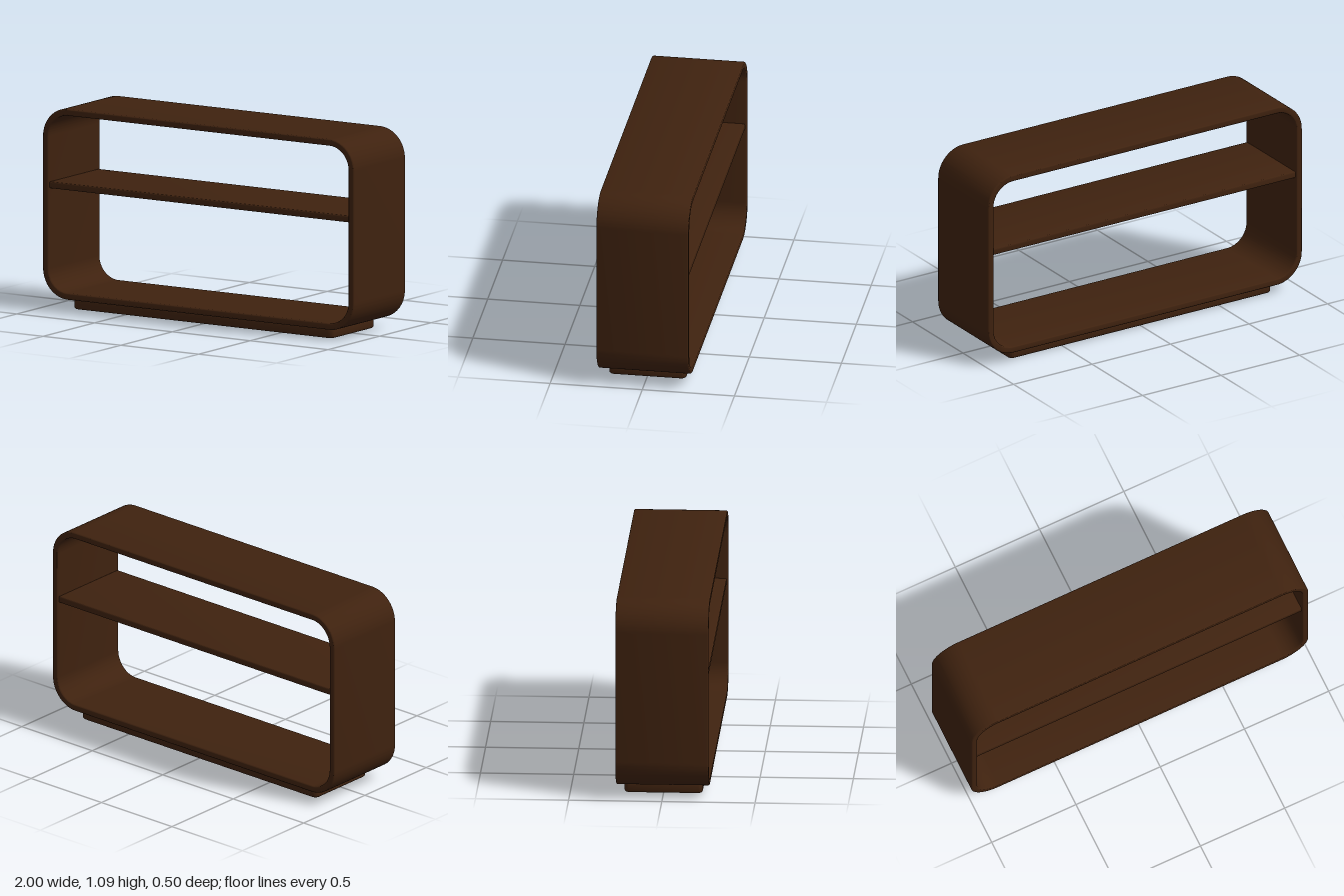
import * as THREE from 'three';
import { toCreasedNormals } from 'three/addons/utils/BufferGeometryUtils.js';

// Traces a rounded rectangle centred on the origin
function roundedRect(path, w, h, r) {
  const x = w / 2, y = h / 2;
  path.moveTo(x, -y + r);
  path.lineTo(x, y - r);
  path.absarc(x - r, y - r, r, 0, Math.PI / 2);
  path.lineTo(-x + r, y);
  path.absarc(-x + r, y - r, r, Math.PI / 2, Math.PI);
  path.lineTo(-x, -y + r);
  path.absarc(-x + r, -y + r, r, Math.PI, Math.PI * 1.5);
  path.lineTo(x - r, -y);
  path.absarc(x - r, -y + r, r, Math.PI * 1.5, Math.PI * 2);
  return path;
}

// Extrudes along z, centred, with softened edges inside the given size
function softExtrude(shape, depth, bevel) {
  const geometry = new THREE.ExtrudeGeometry(shape, {
    depth: depth - 2 * bevel,
    bevelEnabled: true,
    bevelThickness: bevel,
    bevelSize: bevel,
    bevelOffset: -bevel,
    bevelSegments: 3,
    curveSegments: 16,
  });
  geometry.translate(0, 0, bevel - depth / 2);
  return toCreasedNormals(geometry, 0.6);
}

export function createModel() {
  const group = new THREE.Group();
  const wood = new THREE.MeshStandardMaterial({ color: 0x3f220f });
  wood.name = 'darkWood';

  const add = (name, geometry, y) => {
    const mesh = new THREE.Mesh(geometry, wood);
    mesh.name = name;
    mesh.position.y = y;
    group.add(mesh);
    return mesh;
  };

  // Open frame with rounded corners
  const bottom = 0.055, top = 1.092, wall = 0.036, radius = 0.16;
  const height = top - bottom;
  const frame = roundedRect(new THREE.Shape(), 2, height, radius);
  frame.holes.push(
    roundedRect(new THREE.Path(), 2 - 2 * wall, height - 2 * wall, radius - wall));
  add('frame', softExtrude(frame, 0.5, 0.007), (bottom + top) / 2);

  // Shelf between the side walls
  const shelf = roundedRect(new THREE.Shape(), 1.935, 0.036, 0.009);
  add('shelf', softExtrude(shelf, 0.48, 0.007), 0.667);

  // Recessed plinth with rounded corners, laid flat
  const plinth = roundedRect(new THREE.Shape(), 1.67, 0.42, 0.03);
  add('plinth', softExtrude(plinth, 0.057, 0.012), 0.0285).rotation.x = -Math.PI / 2;

  return group;
}
